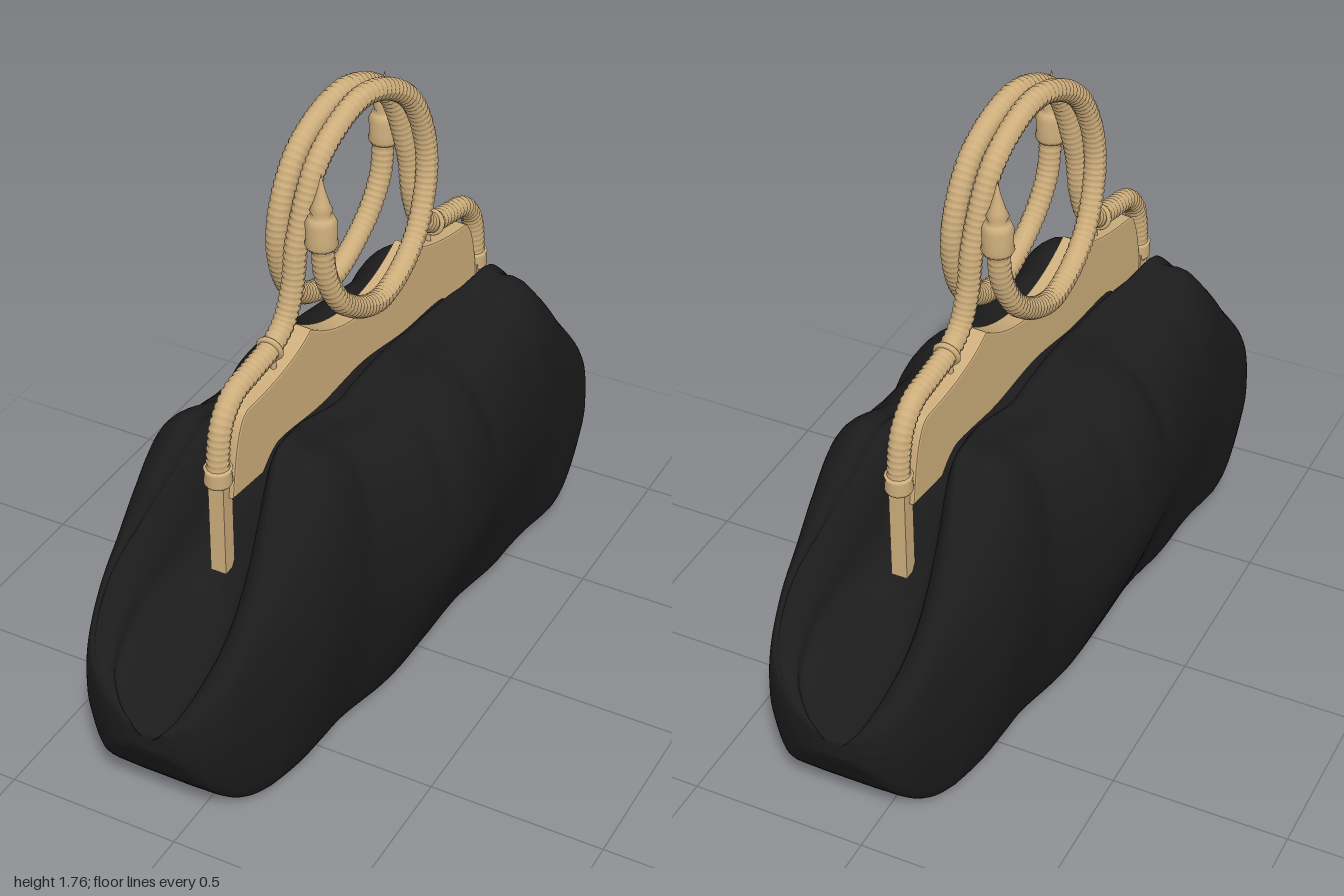
import * as THREE from 'three';

const cloth = new THREE.MeshStandardMaterial({ color: 0x1c1c1c, side: THREE.DoubleSide });
cloth.name = 'black cloth';
const gold = new THREE.MeshStandardMaterial({ color: 0xceae7c });
gold.name = 'antique gold';

function add(parent, name, geometry, material) {
  const mesh = new THREE.Mesh(geometry, material);
  mesh.name = name;
  parent.add(mesh);
  return mesh;
}

// Bag stations from the middle to one end: z, min x, max x, bottom, lip height, gusset floor
const HALF = [
  [0, -0.39, 0.39, 0.008, 0.965, 0.93],
  [0.2, -0.375, 0.365, 0.008, 0.945, 0.91],
  [0.4, -0.365, 0.285, 0.008, 0.98, 0.91],
  [0.5, -0.36, 0.27, 0.008, 1.0, 0.82],
  [0.6, -0.355, 0.25, 0.008, 0.905, 0.62],
  [0.7, -0.35, 0.21, 0.012, 0.755, 0.55],
  [0.8, -0.34, 0.165, 0.03, 0.62, 0.47],
  [0.9, -0.31, 0.12, 0.125, 0.49, 0.41],
  [0.97, -0.22, 0.06, 0.24, 0.415, 0.37],
  [1.0, -0.13, 0.0, 0.3, 0.37, 0.35],
];
// The other end is the same turned half a circle about y
const STATIONS = [
  ...HALF.slice(1).reverse().map(([z, l, r, b, t, f]) => [-z, -r, -l, b, t, f]),
  ...HALF,
];

// Half cross-section: share of half width, share of height (above 1 dips from lip to floor)
const LIP = 0.36;
const PROFILE = new THREE.CatmullRomCurve3([
  [0, 0], [0.45, 0.003], [0.76, 0.03], [0.86, 0.13], [0.95, 0.34], [1, 0.55], [0.965, 0.76],
  [0.84, 0.9], [0.62, 0.975], [LIP, 1], [0.26, 1.3], [0.2, 1.85], [0, 2],
].map(([x, y]) => new THREE.Vector3(x, y, 0))).getPoints(48);

// Pleats gathered into the frame: position along z, depth
const PLEATS = [[-0.36, 0.04], [-0.12, 0.055], [0.12, 0.07], [0.36, 0.04]];

function bagGeometry() {
  const { lerp, smoothstep } = THREE.MathUtils;
  // Smooth curves through the stations
  const a = new THREE.CatmullRomCurve3(STATIONS.map(s => new THREE.Vector3(s[1], s[2], s[0])));
  const b = new THREE.CatmullRomCurve3(STATIONS.map(s => new THREE.Vector3(s[3], s[4], s[5])));
  const steps = 180;
  const loop = [
    ...PROFILE.map(p => [p.x, p.y]),
    ...PROFILE.slice(1, -1).reverse().map(p => [-p.x, p.y]),
  ];
  const n = loop.length, pos = [], idx = [];
  for (let i = 0; i <= steps; i++) {
    const side = a.getPoint(i / steps), rise = b.getPoint(i / steps);
    const z = side.z, mid = (side.x + side.y) / 2, half = (side.y - side.x) / 2;
    // The lips hug the frame in the middle and spread apart towards the ends
    const far = Math.abs(z);
    const lip = 0.23 + 0.13 * smoothstep(far, 0.25, 0.5) + 0.48 * smoothstep(far, 0.5, 0.85);
    // The base keeps straight sides under the bulging middle
    const base = Math.min(1, 0.275 / half);
    for (const [u, v] of loop) {
      let out = Math.abs(u);
      if (v > 1) out *= lip / LIP;
      else if (v > 0.55) out = 1 - (1 - out) * (1 - lip) / (1 - LIP);
      else out *= lerp(base, 1, smoothstep(v, -0.1, 0.55));
      // Pleats fan out below the lip
      const h = Math.min(v, 1), fade = smoothstep(h, 0.55, 0.95);
      let pleat = 0;
      for (const [z0, depth] of PLEATS) {
        const d = (z - z0 * (1 + (1 - h) * 0.5)) / 0.04;
        pleat += depth * Math.exp(-d * d);
      }
      const x = Math.sign(u) * out * half * (1 - pleat * fade);
      const y = v <= 1 ? lerp(rise.x, rise.y, v) : lerp(rise.y, rise.z, v - 1);
      pos.push(mid + x, y, z);
    }
  }
  for (let i = 0; i < steps; i++) {
    for (let j = 0; j < n; j++) {
      const k = (j + 1) % n, p = i * n, q = p + n;
      idx.push(p + j, p + k, q + k, p + j, q + k, q + j);
    }
  }
  // Close both ends
  for (const [row, flip] of [[0, true], [steps, false]]) {
    const o = row * n, c = pos.length / 3;
    const s = STATIONS[flip ? 0 : STATIONS.length - 1];
    pos.push((s[1] + s[2]) / 2, 0.33, s[0]);
    for (let j = 0; j < n; j++) {
      const k = (j + 1) % n;
      idx.push(c, o + (flip ? k : j), o + (flip ? j : k));
    }
  }
  const g = new THREE.BufferGeometry();
  g.setAttribute('position', new THREE.Float32BufferAttribute(pos, 3));
  g.setIndex(idx);
  g.computeVertexNormals();
  return g;
}

// Tube with alternating raised rings, like wound cord
function cordGeometry(curve, segments, radius) {
  const radial = 12, g = new THREE.TubeGeometry(curve, segments, radius, radial);
  const p = g.attributes.position, nrm = g.attributes.normal;
  for (let i = 0; i < p.count; i++) {
    const d = Math.floor(i / (radial + 1)) % 3 ? 0.001 : -0.002;
    p.setXYZ(i, p.getX(i) + nrm.getX(i) * d, p.getY(i) + nrm.getY(i) * d, p.getZ(i) + nrm.getZ(i) * d);
  }
  g.computeVertexNormals();
  return g;
}

// Arm from the frame end that rises into one full turn and ends in a finial
function makeHandle() {
  const group = new THREE.Group();
  const pts = [
    [-0.057, 0.91, 0.622], [-0.057, 1.0, 0.618], [-0.055, 1.08, 0.598], [-0.052, 1.135, 0.545],
    [-0.047, 1.155, 0.46], [-0.042, 1.175, 0.37], [-0.036, 1.22, 0.31], [-0.028, 1.31, 0.28],
  ].map(p => new THREE.Vector3(...p));
  const drift = [-0.02, 0.005, 0.03, 0.06, 0.078, 0.083, 0.08, 0.07];
  for (let i = 0; i < 8; i++) {
    const t = i * Math.PI / 4;
    pts.push(new THREE.Vector3(drift[i], 1.445 + 0.295 * Math.sin(t), 0.264 * Math.cos(t)));
  }
  pts.push(new THREE.Vector3(0.057, 1.35, 0.255), new THREE.Vector3(0.055, 1.47, 0.274));
  add(group, 'coiledHandle', cordGeometry(new THREE.CatmullRomCurve3(pts), 420, 0.03), gold);

  // Finial with cup, bead and spike
  const finial = [[0, 0], [0.038, 0], [0.044, 0.012], [0.04, 0.025], [0.042, 0.07], [0.034, 0.088],
    [0.022, 0.092], [0.03, 0.108], [0.022, 0.125], [0.01, 0.165], [0, 0.21]]
    .map(p => new THREE.Vector2(...p));
  add(group, 'finial', new THREE.LatheGeometry(finial, 20), gold).position.set(0.055, 1.45, 0.275);

  // Collar and hinge tab at the frame end
  const collar = [[0, 0], [0.034, 0], [0.038, 0.008], [0.035, 0.04], [0.038, 0.05], [0, 0.055]]
    .map(p => new THREE.Vector2(...p));
  add(group, 'collar', new THREE.LatheGeometry(collar, 20), gold).position.set(-0.057, 0.905, 0.622);
  add(group, 'hingeTab', new THREE.BoxGeometry(0.045, 0.3, 0.045), gold).position.set(-0.06, 0.775, 0.61);

  // Binding ring and pin that tie the arm to the frame
  const ring = add(group, 'bindingRing', new THREE.TorusGeometry(0.031, 0.008, 8, 20), gold);
  ring.position.set(-0.042, 1.173, 0.375);
  ring.rotation.x = 0.25;
  add(group, 'pin', new THREE.CylinderGeometry(0.008, 0.008, 0.1, 8), gold).position.set(-0.035, 1.125, 0.37);
  return group;
}

// Flat frame plate with two peaks and a scooped middle
function frameGeometry() {
  const s = new THREE.Shape();
  s.moveTo(-0.6, 0.86);
  s.lineTo(0.6, 0.86);
  s.lineTo(0.59, 0.93);
  s.quadraticCurveTo(0.57, 1.07, 0.53, 1.085);
  s.quadraticCurveTo(0.33, 1.1, 0.245, 1.165);
  s.quadraticCurveTo(0.13, 1.085, 0, 1.085);
  s.quadraticCurveTo(-0.13, 1.085, -0.245, 1.165);
  s.quadraticCurveTo(-0.33, 1.1, -0.53, 1.085);
  s.quadraticCurveTo(-0.57, 1.07, -0.59, 0.93);
  s.closePath();
  const g = new THREE.ExtrudeGeometry(s, {
    depth: 0.044, bevelEnabled: true, bevelSize: 0.006, bevelThickness: 0.006, bevelSegments: 2,
  });
  return g.translate(0, 0, -0.022);
}

export function createModel() {
  const model = new THREE.Group();
  add(model, 'bagBody', bagGeometry(), cloth);
  add(model, 'framePlate', frameGeometry(), gold).rotation.y = -Math.PI / 2 - 0.085;

  // Two interlocking handles, half a turn apart
  for (const [name, turn] of [['frontHandle', 0], ['backHandle', Math.PI]]) {
    const handle = makeHandle();
    handle.name = name;
    handle.rotation.y = turn;
    model.add(handle);
  }
  return model;
}
